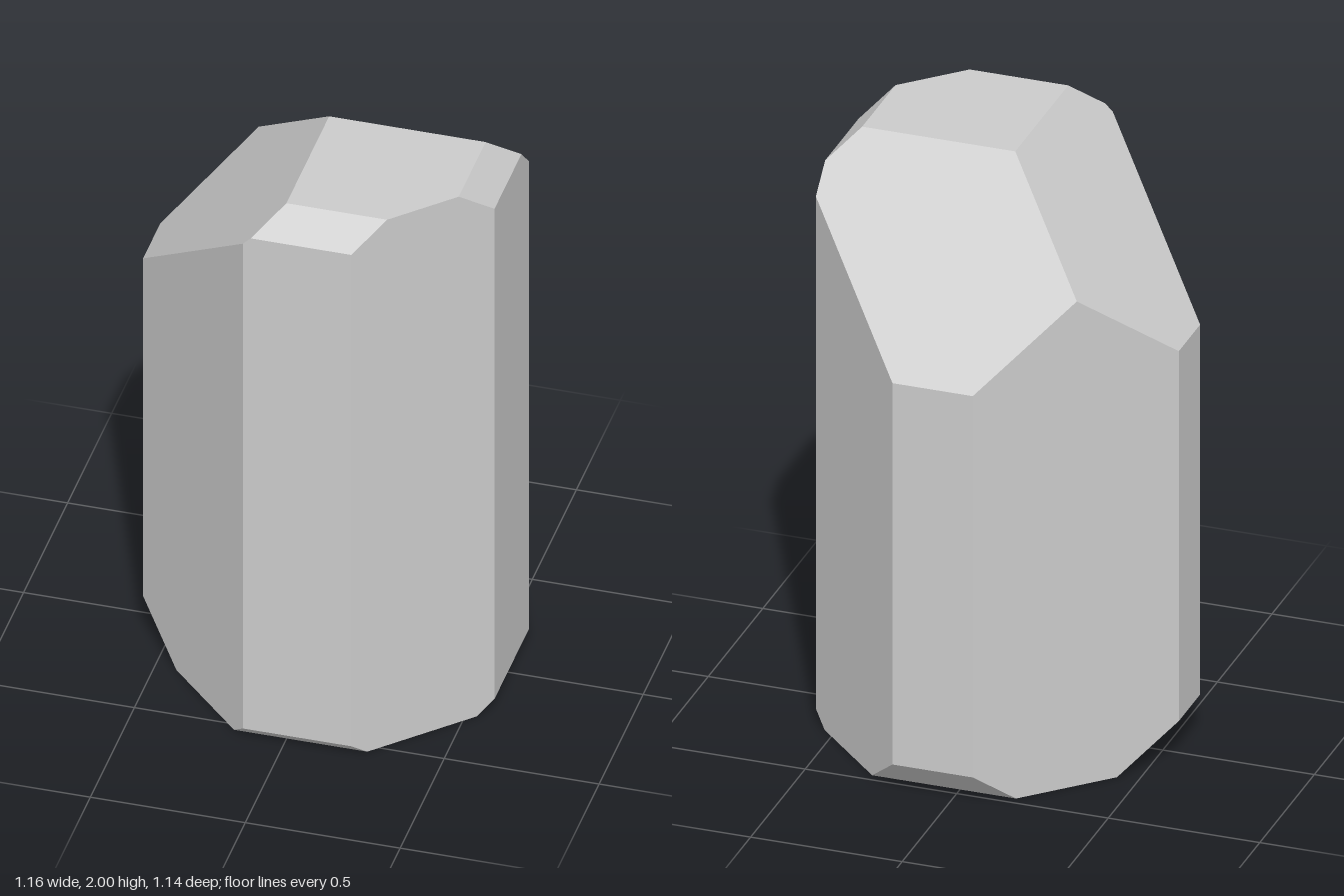
import * as THREE from 'three';

// Each facet is a plane: outward direction and limit, a*x + b*y + c*z <= d
const facets = [
  // flat top and base
  [0, 1, 0, 2], [0, -1, 0, 0],
  // eight upright sides
  [1, 0, 0, 0.58], [-1, 0, 0, 0.58], [0, 0, 1, 0.57], [0, 0, -1, 0.575],
  [1, 0, 1, 0.79], [-1, 0, 1, 0.7], [-1, 0, -1, 0.655], [1, 0, -1, 0.76],
  // sloped cuts round the top: right, left, front, back
  [1, 1, 0, 2.49], [-1, 1, 0, 2.015], [0, 1, 1, 2.48], [0, 1, -1, 2.005],
  // sloped cuts round the base: right, left, front, back
  [1, -1, 0, 0.535], [-1, -1, 0, 0.43], [0, -1, 1, 0.53], [0, -1, -1, 0.47],
].map(([a, b, c, d]) => ({ n: new THREE.Vector3(a, b, c), d }));

// Corner where three planes meet, or null if they do not
function meet(p, q, r) {
  const qr = q.n.clone().cross(r.n);
  const det = p.n.dot(qr);
  if (Math.abs(det) < 1e-6) return null;
  return qr.multiplyScalar(p.d)
    .addScaledVector(r.n.clone().cross(p.n), q.d)
    .addScaledVector(p.n.clone().cross(q.n), r.d)
    .divideScalar(det);
}

// Solid bounded by all the planes, one flat polygon per plane
function facetedGeometry(planes) {
  const corners = [];
  planes.forEach((p, i) => planes.slice(i + 1).forEach((q, j) => {
    for (const r of planes.slice(i + j + 2)) {
      const v = meet(p, q, r);
      if (v && planes.every((s) => s.n.dot(v) <= s.d + 1e-5)
        && corners.every((c) => c.distanceTo(v) > 1e-4)) corners.push(v);
    }
  }));

  const positions = [];
  for (const { n, d } of planes) {
    const ring = corners.filter((v) => Math.abs(n.dot(v) - d) < 1e-4);
    if (ring.length < 3) continue;
    // order the corners counter-clockwise as seen from outside
    const centre = ring.reduce((s, v) => s.add(v), new THREE.Vector3()).divideScalar(ring.length);
    const u = ring[0].clone().sub(centre).normalize();
    const w = n.clone().normalize().cross(u);
    const angle = (v) => {
      const e = v.clone().sub(centre);
      return Math.atan2(e.dot(w), e.dot(u));
    };
    ring.sort((a, b) => angle(a) - angle(b));
    for (let k = 1; k < ring.length - 1; k++) {
      for (const v of [ring[0], ring[k], ring[k + 1]]) positions.push(v.x, v.y, v.z);
    }
  }
  const geometry = new THREE.BufferGeometry();
  geometry.setAttribute('position', new THREE.Float32BufferAttribute(positions, 3));
  geometry.computeVertexNormals();
  return geometry;
}

export function createModel() {
  const group = new THREE.Group();
  group.name = 'facetedStone';
  const stone = new THREE.Mesh(
    facetedGeometry(facets),
    new THREE.MeshStandardMaterial({ color: 0xcccccc, flatShading: true }),
  );
  stone.name = 'stonePillar';
  group.add(stone);
  return group;
}
